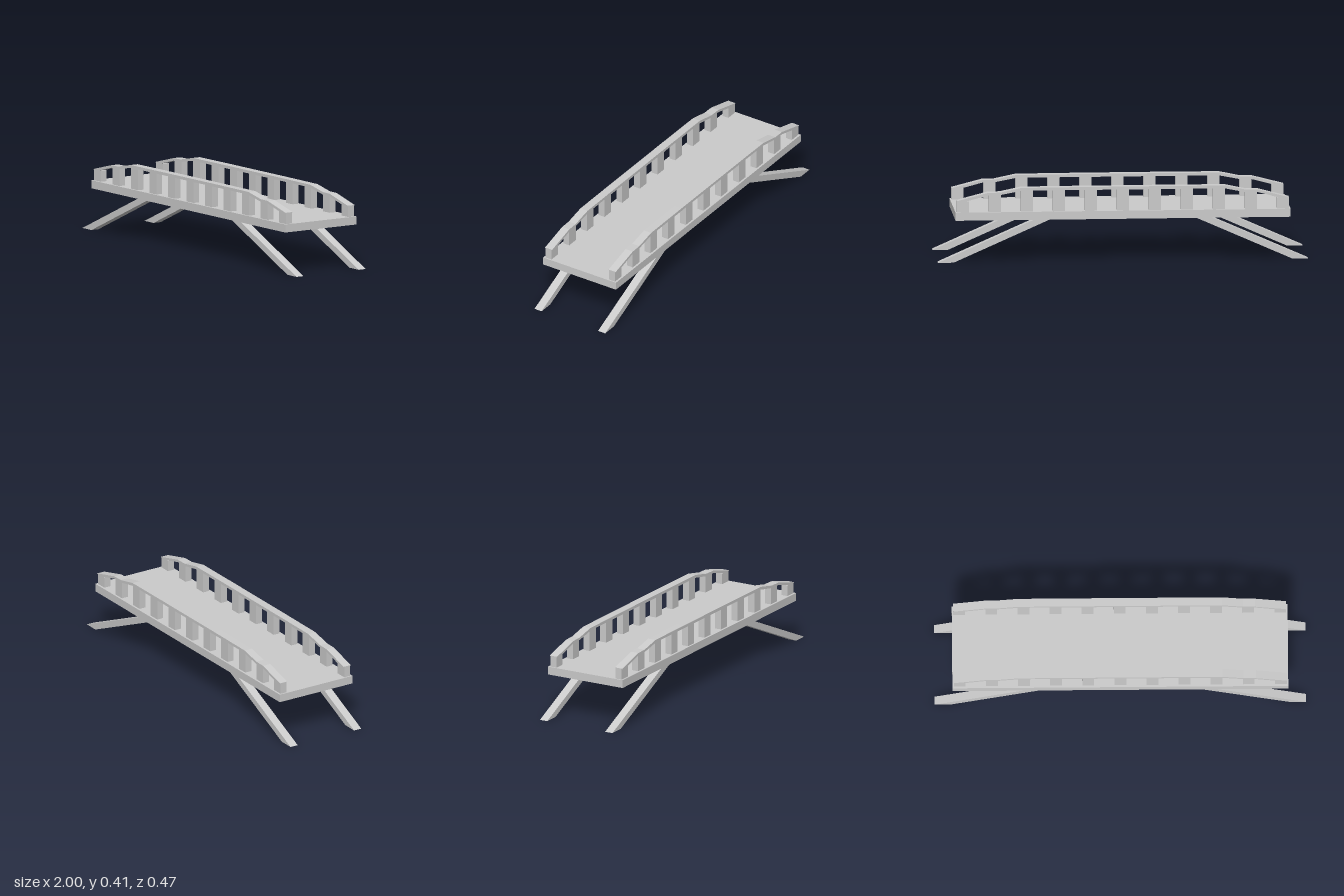
import * as THREE from 'three';

const material = new THREE.MeshStandardMaterial({ color: 0xcccccc, flatShading: true });

function addMesh(group, name, geometry, x = 0, y = 0, z = 0) {
  const mesh = new THREE.Mesh(geometry, material);
  mesh.name = name;
  mesh.position.set(x, y, z);
  group.add(mesh);
  return mesh;
}

// Extrude an x-y outline, centred on z = 0
function slab(points, width) {
  const shape = new THREE.Shape(points.map(([x, y]) => new THREE.Vector2(x, y)));
  return new THREE.ExtrudeGeometry(shape, { depth: width, bevelEnabled: false })
    .translate(0, 0, -width / 2);
}

// Right half of a symmetric outline plus its mirror image
const mirrored = (half) => [...half, ...half.map(([x, y]) => [-x, y]).reverse()];

export function createModel() {
  const group = new THREE.Group();
  group.name = 'footbridge';
  const deckBottom = 0.23, deckTop = 0.274, sideZ = 0.205;

  // Flat walkway
  addMesh(group, 'deck', new THREE.BoxGeometry(1.81, deckTop - deckBottom, 0.47),
    0, (deckTop + deckBottom) / 2, 0);

  // Thin handrail that steps down towards both ends
  const top = [[0.25, 0.405], [0.55, 0.404], [0.665, 0.38], [0.73, 0.379], [0.897, 0.336]];
  const bottom = [[0.897, 0.333], [0.85, 0.333], [0.73, 0.365], [0.66, 0.367], [0.545, 0.389]];
  const railGeometry = slab(mirrored([...top, ...bottom]), 0.046);

  // Sloping brace with level cuts at the ground and the deck
  const leg = [[0.915, 0], [1, 0], [0.48, deckBottom], [0.395, deckBottom]];
  const legGeometry = slab(leg, 0.046);
  const mirrorLegGeometry = slab(leg.map(([x, y]) => [-x, y]).reverse(), 0.046);

  // Height at which each post meets the rail, from the middle outwards
  const postTops = [0.392, 0.392, 0.392, 0.392, 0.372, 0.334];

  for (const side of [1, -1]) {
    const z = side * sideZ;
    const prefix = side > 0 ? 'front' : 'back';
    addMesh(group, prefix + 'Handrail', railGeometry, 0, 0, z);
    addMesh(group, prefix + 'LeftLeg', legGeometry, 0, 0, z);
    addMesh(group, prefix + 'RightLeg', mirrorLegGeometry, 0, 0, z);
    for (let i = -5; i <= 5; i++) {
      const height = postTops[Math.abs(i)] - deckTop;
      addMesh(group, prefix + 'Post', new THREE.BoxGeometry(0.064, height, 0.038),
        i * 0.173, deckTop + height / 2, z);
    }
  }
  return group;
}
